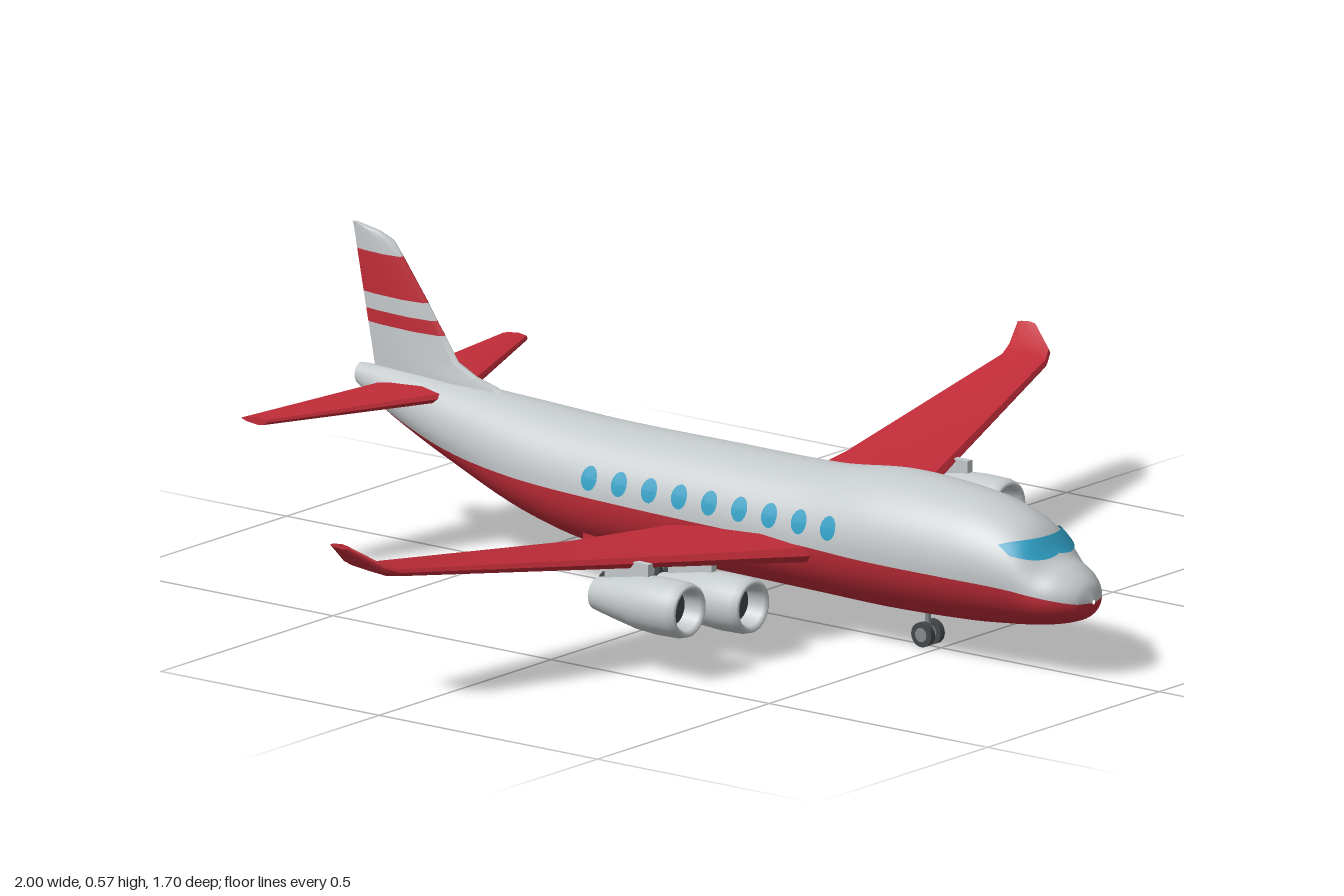
import * as THREE from 'three';
import { toCreasedNormals } from 'three/addons/utils/BufferGeometryUtils.js';

const mat = (name, color, side = THREE.FrontSide) => Object.assign(new THREE.MeshStandardMaterial({ color, side }), { name });

// Fuselage stations from tail to nose: z, top y, bottom y, half width, y of the paint line
const STATIONS = [
  [-0.83, 0.315, 0.275, 0.018, 0.276], [-0.74, 0.318, 0.227, 0.04, 0.24], [-0.6, 0.315, 0.168, 0.068, 0.205],
  [-0.42, 0.307, 0.103, 0.098, 0.19], [-0.25, 0.3, 0.07, 0.112, 0.185], [0, 0.3, 0.069, 0.116, 0.18],
  [0.25, 0.302, 0.066, 0.12, 0.178], [0.42, 0.318, 0.064, 0.125, 0.173], [0.6, 0.307, 0.07, 0.117, 0.17],
  [0.68, 0.288, 0.077, 0.106, 0.167], [0.73, 0.262, 0.083, 0.096, 0.163], [0.77, 0.217, 0.09, 0.085, 0.157],
  [0.81, 0.197, 0.1, 0.066, 0.15], [0.84, 0.173, 0.115, 0.036, 0.143], [0.85, 0.146, 0.138, 0.004, 0.141],
];

// Smooth (cubic) interpolation of the stations at z
function station(z) {
  const S = STATIONS, n = S.length;
  let i = 0;
  while (i < n - 2 && z > S[i + 1][0]) i++;
  const slope = (k, c) => {
    const a = S[Math.max(k - 1, 0)], b = S[Math.min(k + 1, n - 1)];
    return (b[c] - a[c]) / (b[0] - a[0]);
  };
  const h = S[i + 1][0] - S[i][0], t = THREE.MathUtils.clamp((z - S[i][0]) / h, 0, 1), t2 = t * t, t3 = t2 * t;
  const [top, bottom, rx, split] = [1, 2, 3, 4].map((c) =>
    (2 * t3 - 3 * t2 + 1) * S[i][c] + (t3 - 2 * t2 + t) * h * slope(i, c) +
    (3 * t2 - 2 * t3) * S[i + 1][c] + (t3 - t2) * h * slope(i + 1, c));
  return { yc: (top + bottom) / 2, ry: (top - bottom) / 2, rx, split };
}

// Indexed surface from a rule point(u, v) -> [x, y, z]
function grid(point, nu, nv) {
  const pos = [], idx = [];
  for (let j = 0; j <= nv; j++) for (let i = 0; i <= nu; i++) pos.push(...point(i / nu, j / nv));
  for (let j = 0; j < nv; j++) for (let i = 0; i < nu; i++) {
    const a = j * (nu + 1) + i, b = a + 1, d = a + nu + 1, c = d + 1;
    idx.push(a, b, d, b, c, d);
  }
  const g = new THREE.BufferGeometry();
  g.setAttribute('position', new THREE.Float32BufferAttribute(pos, 3));
  g.setIndex(idx);
  g.computeVertexNormals();
  return g;
}

// Closed solid through rings of points, capped at both ends
function loft(rings) {
  const n = rings[0].length, m = rings.length, pos = rings.flat(2), idx = [];
  for (let j = 0; j < m - 1; j++) for (let i = 0; i < n; i++) {
    const a = j * n + i, b = j * n + (i + 1) % n;
    idx.push(a, b, a + n, b, b + n, a + n);
  }
  for (let i = 1; i < n - 1; i++) {
    idx.push(0, i + 1, i);
    idx.push((m - 1) * n, (m - 1) * n + i, (m - 1) * n + i + 1);
  }
  const g = new THREE.BufferGeometry();
  g.setAttribute('position', new THREE.Float32BufferAttribute(pos, 3));
  g.setIndex(idx);
  return toCreasedNormals(g, 0.6);
}

// Aerofoil: fraction of chord from the leading edge, share of half thickness
const FOIL = [[0, 0], [0.04, 0.6], [0.35, 1], [0.8, 0.6], [1, 0.15], [1, -0.15], [0.8, -0.6], [0.35, -1], [0.04, -0.6]];
// Sections of a wing: x, leading z, trailing z, y, thickness
const wingGeometry = (sections, s) => loft(sections.map(([x, le, te, y, t]) =>
  FOIL.map(([f, h]) => [s * x, y - s * h * t / 2, le + (te - le) * f])));
// Sections of a fin: y, leading z, trailing z, thickness
const finGeometry = (sections) => loft(sections.map(([y, le, te, t]) =>
  FOIL.map(([f, h]) => [h * t / 2, y, le + (te - le) * f])));

export function createModel() {
  const model = new THREE.Group();
  model.name = 'airliner';
  const white = mat('light grey paint', 0xc4c9cb), red = mat('red paint', 0xc02c38);
  const glass = mat('blue glass', 0x2f9fc4, THREE.DoubleSide), dark = mat('dark grey', 0x45484b), metal = mat('gear metal', 0x85898c);
  const add = (name, geometry, material, parent = model, x = 0, y = 0, z = 0) => {
    const mesh = new THREE.Mesh(geometry, material);
    mesh.name = name;
    mesh.position.set(x, y, z);
    parent.add(mesh);
    return mesh;
  };

  // Fuselage: upper and lower shells meeting at the paint line
  const shell = (upper) => grid((u, v) => {
    const z = -0.83 + 1.68 * Math.sin(v * Math.PI / 2);
    const { yc, ry, rx, split } = station(z);
    const s = Math.asin(THREE.MathUtils.clamp((split - yc) / ry, -1, 1));
    const a = upper ? s + u * (Math.PI - 2 * s) : Math.PI - s + u * (Math.PI + 2 * s);
    return [rx * Math.cos(a), yc + ry * Math.sin(a), z];
  }, 28, 90);
  add('upperFuselage', shell(true), white);
  add('lowerFuselage', shell(false), red);
  const tailEnd = station(-0.83);
  add('tailCap', new THREE.SphereGeometry(1, 16, 10).scale(tailEnd.rx, tailEnd.ry, 0.008), white, model, 0, tailEnd.yc, -0.828);

  // Cabin windows laid on the skin
  for (const s of [-1, 1]) for (let i = 0; i < 9; i++) {
    const window = grid((u, v) => {
      const a = u * Math.PI * 2, z = 0.335 - i * 0.0695 + 0.018 * v * Math.cos(a), y = 0.22 + 0.022 * v * Math.sin(a);
      const { yc, ry, rx } = station(z);
      return [s * (rx * Math.sqrt(1 - ((y - yc) / ry) ** 2) + 0.002), y, z];
    }, 14, 2);
    add('cabinWindow', window, glass);
  }

  // Windscreen wrapped round the nose: find the skin's z at each x, y
  add('windscreen', grid((u, v) => {
    const k = u * 2 - 1, x = 0.084 * k, e = k ** 6;
    const low = 0.219 - 0.005 * Math.sin(Math.PI * Math.abs(k)) + 0.004 * e, high = 0.248 - 0.008 * e;
    const y = low + (high - low) * v;
    let z0 = 0.5, z1 = 0.85;
    for (let i = 0; i < 30; i++) {
      const z = (z0 + z1) / 2, { yc, ry, rx } = station(z);
      if ((x / rx) ** 2 + ((y - yc) / ry) ** 2 < 1) z0 = z; else z1 = z;
    }
    return [x * 1.03, y + 0.002, z0 + 0.003];
  }, 32, 6), glass);

  // Wings with upturned tips, and tailplane
  const WING = [[0, 0.335, -0.035, 0.15, 0.05], [0.12, 0.294, -0.035, 0.162, 0.045], [0.4, 0.193, -0.035, 0.192, 0.034],
    [0.94, 0.003, -0.1, 0.253, 0.022], [0.968, -0.012, -0.106, 0.265, 0.022], [1, -0.07, -0.112, 0.3, 0.01]];
  const TAIL = [[0, -0.585, -0.765, 0.291, 0.026], [0.05, -0.615, -0.77, 0.291, 0.026], [0.38, -0.747, -0.803, 0.294, 0.014]];
  for (const s of [1, -1]) {
    const side = s > 0 ? 'left' : 'right';
    add(side + 'Wing', wingGeometry(WING, s), red);
    add(side + 'Tailplane', wingGeometry(TAIL, s), red);
  }

  // Tail fin in painted bands
  const FIN = [[0.29, -0.47, -0.79, 0.034], [0.315, -0.51, -0.795, 0.032], [0.328, -0.56, -0.798, 0.03], [0.35, -0.605, -0.802, 0.028],
    [0.395, -0.636, -0.811, 0.026], [0.42, -0.655, -0.816, 0.025], [0.45, -0.675, -0.822, 0.024], [0.527, -0.733, -0.837, 0.02],
    [0.553, -0.754, -0.842, 0.018], [0.566, -0.785, -0.845, 0.015], [0.575, -0.835, -0.848, 0.01]];
  for (const [from, to, material] of [[0, 4, white], [4, 5, red], [5, 6, white], [6, 7, red], [7, 10, white]])
    add(material === red ? 'finStripe' : 'fin', finGeometry(FIN.slice(from, to + 1)), material);

  // Engines: nacelle with hollow ends, dark core and pylon
  const nacelle = new THREE.LatheGeometry([[0.022, 0.1], [0.025, 0.082], [0.03, 0.08], [0.039, 0.125], [0.05, 0.185], [0.053, 0.23], [0.052, 0.275],
    [0.048, 0.289], [0.042, 0.291], [0.037, 0.284], [0.032, 0.25]].map((p) => new THREE.Vector2(...p)), 28).rotateX(Math.PI / 2);
  const core = new THREE.CylinderGeometry(0.033, 0.025, 0.15, 24).rotateX(Math.PI / 2);
  for (const s of [1, -1]) for (const [x, y] of [[0.28, 0.1], [0.465, 0.13]]) {
    const engine = new THREE.Group();
    engine.name = 'engine';
    engine.position.set(s * x, y, 0);
    model.add(engine);
    add('nacelle', nacelle, white, engine);
    add('engineCore', core, dark, engine, 0, 0, 0.178);
    add('pylon', new THREE.BoxGeometry(0.014, 0.04, 0.1), white, engine, 0, 0.053, 0.15);
  }

  // Landing gear: strut, axle and twin wheels
  const tyre = new THREE.CylinderGeometry(0.023, 0.023, 0.012, 20).rotateZ(Math.PI / 2);
  const hub = new THREE.CylinderGeometry(0.013, 0.013, 0.015, 16).rotateZ(Math.PI / 2);
  const gear = (name, x, z) => {
    const g = new THREE.Group();
    g.name = name;
    g.position.set(x, 0.023, z);
    model.add(g);
    add('strut', new THREE.CylinderGeometry(0.005, 0.005, 0.08, 10), metal, g, 0, 0.04, 0);
    add('axle', new THREE.CylinderGeometry(0.004, 0.004, 0.03, 8).rotateZ(Math.PI / 2), metal, g);
    for (const s of [-1, 1]) {
      add('tyre', tyre, dark, g, s * 0.014);
      add('hub', hub, metal, g, s * 0.014);
    }
    return g;
  };
  gear('noseGear', 0, 0.47);
  for (const s of [-1, 1]) {
    const main = gear('mainGear', s * 0.06, -0.2);
    for (const d of [-1, 1]) add('gearDoor', new THREE.BoxGeometry(0.006, 0.055, 0.11), red, main, d * 0.02, 0.06, 0);
  }
  return model;
}
